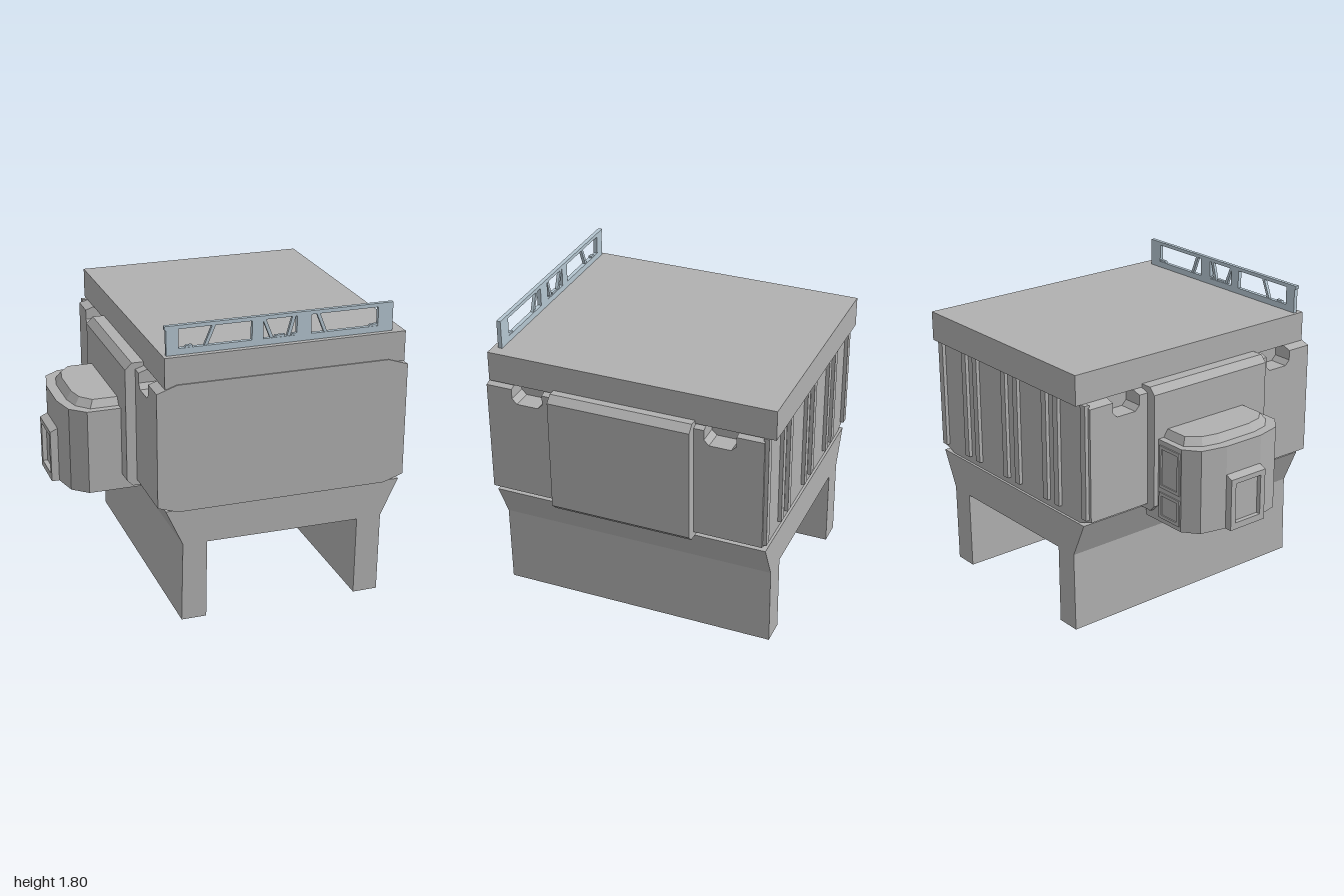
import * as THREE from 'three';

const grey = new THREE.MeshStandardMaterial({ color: 0xb0b0b0 });
grey.name = 'grey panel';
const steel = new THREE.MeshStandardMaterial({ color: 0xb4c5d0 });
steel.name = 'pale blue steel';

const toShape = (pts) => new THREE.Shape(pts.map(([x, y]) => new THREE.Vector2(x, y)));
const toPath = (pts) => new THREE.Path(pts.map(([x, y]) => new THREE.Vector2(x, y)));
const rect = (x0, y0, x1, y1) => [[x0, y0], [x1, y0], [x1, y1], [x0, y1]];

function prism(pts, depth, holes = []) {
  const shape = toShape(pts);
  holes.forEach((h) => shape.holes.push(toPath(h)));
  return new THREE.ExtrudeGeometry(shape, { depth, bevelEnabled: false });
}

// Move every vertex by a rule, then refresh the flat normals
function reshape(geo, rule) {
  const p = geo.attributes.position;
  const v = new THREE.Vector3();
  for (let i = 0; i < p.count; i++) {
    v.fromBufferAttribute(p, i);
    rule(v);
    p.setXYZ(i, v.x, v.y, v.z);
  }
  geo.computeVertexNormals();
  return geo;
}

export function createModel() {
  const model = new THREE.Group();
  model.name = 'raisedCabin';

  const add = (name, geo, mat = grey, parent = model) => {
    const m = new THREE.Mesh(geo, mat);
    m.name = name;
    parent.add(m);
    return m;
  };
  const box = (name, x0, x1, y0, y1, z0, z1, mat = grey, parent = model) => {
    const m = add(name, new THREE.BoxGeometry(x1 - x0, y1 - y0, z1 - z0), mat, parent);
    m.position.set((x0 + x1) / 2, (y0 + y1) / 2, (z0 + z1) / 2);
    return m;
  };

  // Legs and splayed underframe
  add('legFrame', prism([
    [-0.52, 0.71], [-0.42, 0.49], [-0.43, 0.005], [-0.28, 0.005], [-0.275, 0.487],
    [0.655, 0.483], [0.65, 0], [0.8, 0], [0.805, 0.49], [0.91, 0.71],
  ], 1.68)).position.z = -0.825;

  // Body core and roof slab
  box('bodyCore', -0.45, 0.81, 0.705, 1.47, -0.81, 0.868);
  box('roof', -0.52, 0.91, 1.45, 1.63, -0.87, 0.86);

  // Side walls with chamfered long edges and two notches under the roof
  const notch = (a, b) => [[a, 1.47], [a, 1.37], [a - 0.03, 1.34], [b + 0.03, 1.34], [b, 1.37], [b, 1.47]];
  const wallOutline = [
    [-0.81, 0.705], [0.868, 0.705], [0.868, 1.47],
    ...notch(0.71, 0.52), ...notch(-0.46, -0.65), [-0.81, 1.47],
  ];
  const chamfer = (geo, outer, cut) => reshape(geo, (v) => {
    if (v.z < outer - 0.001) return;
    if (v.y > 1.46) v.y -= cut;
    if (v.y < 0.72) v.y += cut;
  });
  for (const side of [1, -1]) {
    const name = side > 0 ? 'left' : 'right';
    const turn = (pts) => pts.map(([z, y]) => [-side * z, y]);
    const wall = add(name + 'Wall', chamfer(prism(turn(wallOutline), 0.12), 0.12, 0.04));
    wall.rotation.y = side * Math.PI / 2;
    wall.position.x = side > 0 ? 0.81 : -0.45;

    // Raised centre panel
    const panel = add(name + 'CentrePanel',
      chamfer(prism(turn(rect(-0.4, 0.705, 0.455, 1.47)), 0.04), 0.04, 0.04));
    panel.rotation.y = side * Math.PI / 2;
    panel.position.x = side > 0 ? 0.955 : -0.59;
    box(name + 'PanelBacking', side > 0 ? 0.86 : -0.59, side > 0 ? 0.955 : -0.5,
      0.71, 1.47, -0.4, 0.455);
  }

  // Vertical ribs on the back wall
  for (const x of [0.895, 0.645, 0.53, 0.235, 0.115, -0.165, -0.275, -0.53]) {
    box('backRib', x - 0.022, x + 0.022, 0.755, 1.45, -0.832, -0.8);
  }

  // Side pod
  const pod = new THREE.Group();
  pod.name = 'sidePod';
  model.add(pod);
  const plan = (pts, height) => prism(pts.map(([x, z]) => [x, -z]), height).rotateX(-Math.PI / 2);
  add('podBody', plan([
    [-0.52, -0.37], [-0.83, -0.37], [-0.92, -0.3], [-0.955, -0.14],
    [-0.955, 0.12], [-0.92, 0.27], [-0.83, 0.35], [-0.52, 0.35],
  ], 0.51), grey, pod).position.y = 0.65;

  // Tapered pod lid
  const lid = plan([
    [-0.62, -0.33], [-0.8, -0.33], [-0.87, -0.25], [-0.895, -0.14],
    [-0.895, 0.12], [-0.87, 0.23], [-0.8, 0.305], [-0.62, 0.305],
  ], 0.045);
  add('podLid', reshape(lid, (v) => {
    if (v.y < 0.02) return;
    v.x = -0.62 + (v.x + 0.62) * 0.88;
    v.z = -0.012 + (v.z + 0.012) * 0.91;
  }), grey, pod).position.y = 1.16;

  // Framed hatch on the pod's outer face, its top sloping outward
  const hatch = prism(rect(-0.14, 0.65, 0.12, 0.985), 0.045, [rect(-0.105, 0.69, 0.085, 0.935)]);
  reshape(hatch, (v) => { if (v.z > 0.04 && v.y > 0.98) v.y = 0.965; });
  const hatchMesh = add('podHatchFrame', hatch, grey, pod);
  hatchMesh.rotation.y = -Math.PI / 2;
  hatchMesh.position.x = -0.955;
  box('podHatchPanel', -0.972, -0.95, 0.69, 0.935, -0.105, 0.085, grey, pod);

  // Thin frames on the pod's back face
  for (const [y0, y1] of [[0.87, 1.13], [0.68, 0.84]]) {
    add('podWindowFrame', prism(rect(-0.82, y0, -0.645, y1), 0.008,
      [rect(-0.8, y0 + 0.02, -0.665, y1 - 0.02)]), grey, pod).position.z = -0.378;
  }

  // Open rooftop rail with three bays
  const rail = new THREE.Group();
  rail.name = 'roofRail';
  rail.position.z = 0.803;
  model.add(rail);
  add('railFrame', prism([
    [-0.5, 1.63], [0.84, 1.63], [0.84, 1.8], [-0.51, 1.8], [-0.51, 1.78], [-0.5, 1.775],
  ], 0.025, [
    rect(-0.43, 1.667, -0.005, 1.778),
    rect(0.06, 1.667, 0.26, 1.778),
    rect(0.345, 1.667, 0.75, 1.778),
  ]), steel, rail);

  // Diagonal braces, given by bottom and top x, and small gussets
  for (const [xb, xt] of [[-0.275, -0.222], [0.115, 0.065], [0.21, 0.245], [0.435, 0.385]]) {
    add('railBrace', prism([
      [xb - 0.01, 1.66], [xb + 0.01, 1.66], [xt + 0.01, 1.785], [xt - 0.01, 1.785],
    ], 0.019), steel, rail).position.z = 0.003;
  }
  for (const [a, b] of [[-0.4, -0.35], [0.12, 0.19], [0.22, 0.26], [0.69, 0.75]]) {
    add('railGusset', prism([
      [a, 1.66], [b, 1.66], [b, 1.68], [a + 0.015, 1.678],
    ], 0.019), steel, rail).position.z = 0.003;
  }

  return model;
}
